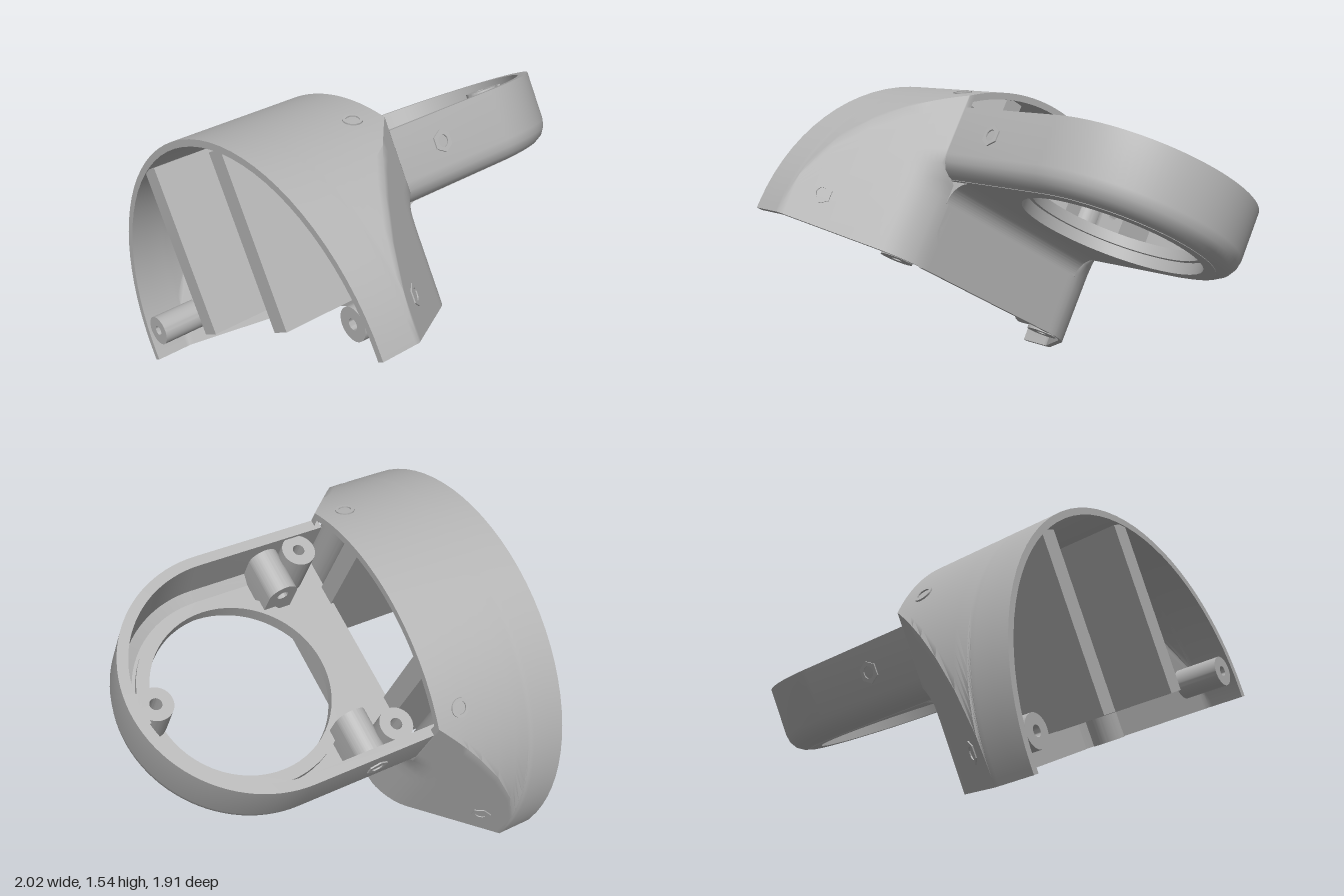
import * as THREE from 'three';
import { toCreasedNormals } from 'three/addons/utils/BufferGeometryUtils.js';

const R = 1.01;          // roof radius, axis along x
const BACK = -0.93, END = -0.24, CUT = -0.03;
const RX = 0.385;        // ring centre in x
const material = new THREE.MeshStandardMaterial({ color: 0xb4b4b4 });
material.name = 'grey plastic';

// Skin over equal closed loops; the end caps join point i with its mirror in the loop
function loft(loops, crease) {
  const n = loops[0].length, pos = loops.flat(2), idx = [];
  for (let s = 0; s < loops.length - 1; s++) {
    for (let i = 0; i < n; i++) {
      const a = s * n + i, b = s * n + (i + 1) % n, c = a + n, d = b + n;
      idx.push(a, c, b, b, c, d);
    }
  }
  const last = (loops.length - 1) * n;
  for (let i = 0; i < n / 2 - 1; i++) {
    const p = n - 1 - i, q = p - 1;
    idx.push(i, i + 1, p, i + 1, q, p);
    idx.push(last + i, last + p, last + i + 1, last + i + 1, last + p, last + q);
  }
  const g = new THREE.BufferGeometry();
  g.setAttribute('position', new THREE.Float32BufferAttribute(pos, 3));
  g.setIndex(idx);
  return toCreasedNormals(g, crease);
}

function extrude(shape, depth) {
  const g = new THREE.ExtrudeGeometry(shape, { depth, bevelEnabled: false, curveSegments: 32 });
  return toCreasedNormals(g, 0.6);
}

// Shape drawn in x and -z, raised along y from y0 to y1
function slab(shape, y0, y1) {
  return extrude(shape, y1 - y0).rotateX(-Math.PI / 2).translate(0, y0, 0);
}

function circle(x, y, r, hole) {
  const s = new THREE.Shape().absarc(x, y, r, 0, Math.PI * 2);
  if (hole) s.holes.push(new THREE.Path().absarc(x, y, hole, 0, Math.PI * 2, true));
  return s;
}

function hexagon(r, hole) {
  const pts = [];
  for (let i = 0; i < 6; i++) {
    const a = Math.PI / 6 + i * Math.PI / 3;
    pts.push(new THREE.Vector2(r * Math.cos(a), r * Math.sin(a)));
  }
  const s = new THREE.Shape(pts);
  s.holes.push(new THREE.Path().absarc(0, 0, hole, 0, Math.PI * 2, true));
  return s;
}

// Half width of the hood: parallel, then tapering, with rounded lower corners
const taper = x => Math.min(R, R - (x + 0.74) * 0.82);
function halfWidth(x, y) {
  const t = Math.max(0, (x + 0.35) / 0.11);
  const round = 0.125 * (1 - Math.sqrt(Math.max(0, 1 - t * t)));
  return taper(x) - round * (1 - THREE.MathUtils.smoothstep(y, 0.34, 0.46));
}

function hoodSection(x, inset) {
  const r = R - inset, top = Math.sqrt(Math.max(0, R * R - taper(x) ** 2)) * r / R;
  const half = [];
  for (let i = 0; i < 12; i++) {
    const y = CUT + (top - CUT) * i / 12;
    half.push([x, y, halfWidth(x, y) - inset]);
  }
  const a0 = Math.atan2(top, taper(x) - inset), arc = [];
  for (let i = 0; i <= 40; i++) {
    const a = a0 + (Math.PI - 2 * a0) * i / 40;
    arc.push([x, r * Math.sin(a), r * Math.cos(a)]);
  }
  const mirrored = half.map(([px, py, pz]) => [px, py, -pz]).reverse();
  return [...half, ...arc, ...mirrored];
}

export function createModel() {
  const model = new THREE.Group();
  model.name = 'ringBracket';
  const body = new THREE.Group();
  body.name = 'body';
  body.rotation.set(-0.511, -0.085, 0, 'YXZ');
  body.position.set(0, 0.525, 0.14);
  model.add(body);

  const add = (name, geometry) => {
    const m = new THREE.Mesh(geometry, material);
    m.name = name;
    body.add(m);
    return m;
  };

  // Hood shell
  const stations = [BACK, -0.85, -0.76, -0.74, -0.72, -0.65, -0.55, -0.45, -0.38, -0.35,
    -0.325, -0.3, -0.28, -0.262, -0.25, -0.244, END];
  add('hood', loft(stations.map(x =>
    [...hoodSection(x, 0), ...hoodSection(x, 0.033).reverse()]), 1.0));

  // Closed lower end of the hood and the fillet under the ring
  add('endWall', new THREE.BoxGeometry(0.03, 0.5, 0.95).translate(END - 0.015, CUT + 0.25, 0));
  const fillet = new THREE.Shape().moveTo(END - 0.02, 0.3).lineTo(END, 0.3);
  fillet.absarc(END + 0.11, 0.3, 0.11, Math.PI, Math.PI / 2, true);
  fillet.lineTo(END + 0.11, 0.43).lineTo(END - 0.02, 0.43);
  add('endFillet', extrude(fillet, 0.98).translate(0, 0, -0.49));

  // Ring wall with rounded lower edge, swept around a D-shaped path
  const profile = [[0.5, 0.41], [0.538, 0.418], [0.571, 0.439], [0.592, 0.472], [0.6, 0.51],
    [0.6, 0.75], [0.55, 0.75], [0.55, 0.6], [0.55, 0.52], [0.5, 0.49]];
  const loops = [profile.map(([o, y]) => [-0.27, y, o])];
  for (let i = 0; i <= 48; i++) {
    const a = Math.PI / 2 - Math.PI * i / 48;
    loops.push(profile.map(([o, y]) => [RX + o * Math.cos(a), y, o * Math.sin(a)]));
  }
  loops.push(profile.map(([o, y]) => [-0.27, y, -o]));
  add('ringWall', loft(loops, 0.6));

  // Ring floor with the round opening and its raised lip
  const floor = new THREE.Shape().moveTo(-0.27, -0.51).lineTo(RX, -0.51);
  floor.absarc(RX, 0, 0.51, -Math.PI / 2, Math.PI / 2, false);
  floor.lineTo(-0.27, 0.51);
  floor.holes.push(new THREE.Path().absarc(RX, 0, 0.45, 0, Math.PI * 2, true));
  add('ringFloor', slab(floor, 0.41, 0.49));
  add('ringLip', slab(circle(RX, 0, 0.485, 0.425), 0.47, 0.525));

  // Screw boss at the far end of the ring
  add('ringEndBoss', slab(circle(0.855, 0, 0.08, 0.028), 0.53, 0.72));
  add('ringEndWeb', new THREE.BoxGeometry(0.05, 0.19, 0.15).translate(0.935, 0.625, 0));

  for (const s of [1, -1]) {
    const side = s > 0 ? 'front' : 'rear';

    // Slotted rib across the hood
    const zr = -s * 0.32;
    const rib = new THREE.Shape().moveTo(BACK + 0.005, zr - 0.05).lineTo(-0.255, zr - 0.05);
    rib.lineTo(-0.255, zr + 0.05).lineTo(BACK + 0.005, zr + 0.05);
    const slot = new THREE.Path().moveTo(-0.72, zr - 0.022).lineTo(-0.72, zr + 0.022);
    slot.lineTo(-0.33, zr + 0.022).lineTo(-0.33, zr - 0.022);
    rib.holes.push(slot);
    add(side + 'Rib', slab(rib, 0.1, 0.92));

    // Upright boss inside the hood, and its screw seat on the roof
    add(side + 'HoodBoss', slab(circle(-0.37, -s * 0.54, 0.08, 0.025), CUT, 0.79));
    const seat = add(side + 'RoofSeat', extrude(circle(0, 0, 0.045, 0.03), 0.008));
    seat.position.set(-0.37, 0.845, s * 0.55);
    seat.lookAt(new THREE.Vector3(-0.37, 1.69, s * 1.1));
    seat.rotation.set(s > 0 ? -0.994 : -Math.PI + 0.994, 0, 0);

    // Lug along the open rim, and its hexagonal seat on the tapered side
    add(side + 'RimLug', extrude(circle(0, 0, 0.075, 0.025), 0.23)
      .rotateY(Math.PI / 2).translate(BACK + 0.01, 0.125, s * 0.88));
    const hex = add(side + 'SideHex', extrude(hexagon(0.05, 0.028), 0.008));
    hex.position.set(-0.615, 0.125, s * 0.904);
    hex.rotation.y = s > 0 ? 0.687 : Math.PI - 0.687;

    // Upright ring boss, tied to the ring wall
    add(side + 'RingBoss', slab(circle(-0.11, -s * 0.48, 0.08, 0.028), 0.47, 0.735));

    // Cross boss through the ring wall, flat below and round above
    const cross = new THREE.Shape().moveTo(-0.075, -0.14).lineTo(0.075, -0.14).lineTo(0.075, 0);
    cross.absarc(0, 0, 0.075, 0, Math.PI, false);
    cross.holes.push(new THREE.Path().absarc(0, 0, 0.028, 0, Math.PI * 2, true));
    add(side + 'CrossBoss', extrude(cross, 0.235)
      .translate(0.02, 0.62, s > 0 ? 0.335 : -0.57));
    const nut = add(side + 'RingHex', extrude(hexagon(0.052, 0.028), 0.008));
    nut.position.set(0.02, 0.62, s * 0.599);
    nut.rotation.y = s > 0 ? 0 : Math.PI;
  }

  // Centre on x and z, stand on y = 0
  model.updateMatrixWorld(true);
  const box = new THREE.Box3().setFromObject(model, true);
  const c = box.getCenter(new THREE.Vector3());
  body.position.sub(new THREE.Vector3(c.x, box.min.y, c.z));
  return model;
}
